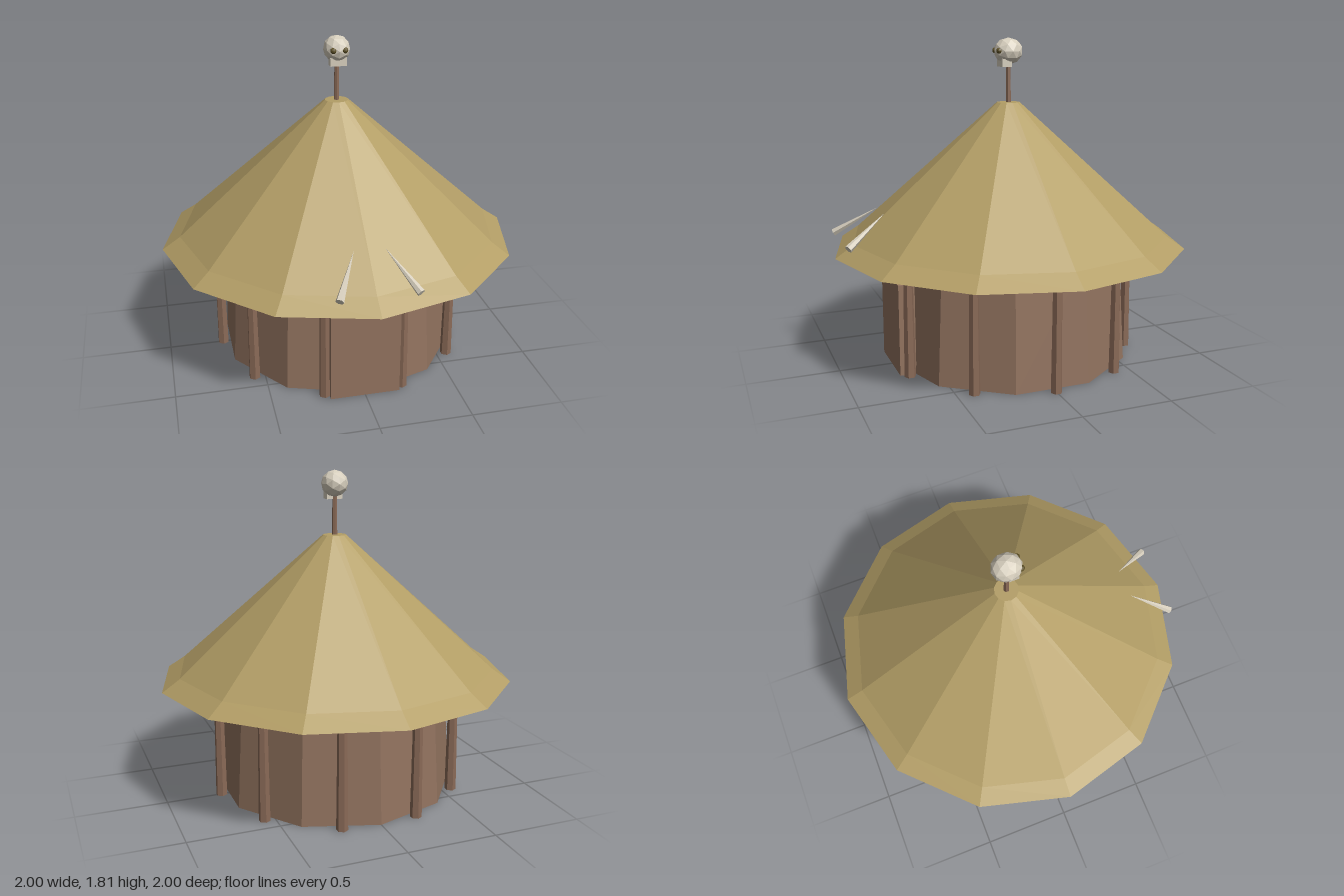
import * as THREE from 'three';

const paint = (name, color) => {
  const m = new THREE.MeshStandardMaterial({ color });
  m.name = name;
  return m;
};

// Split the faces so every facet is shaded flat
const faceted = (geometry) => {
  const g = geometry.index ? geometry.toNonIndexed() : geometry;
  g.computeVertexNormals();
  return g;
};

export function createModel() {
  const thatch = paint('thatch', 0xb39e66);
  const wood = paint('wood', 0x92735f);
  const darkWood = paint('darkWood', 0x8a6a57);
  const bone = paint('bone', 0xd6cebd);
  const eyeColor = paint('eyeSocket', 0x5f5228);

  const hut = new THREE.Group();
  hut.name = 'hut';
  const add = (name, geometry, material, x = 0, y = 0, z = 0, parent = hut) => {
    const mesh = new THREE.Mesh(faceted(geometry), material);
    mesh.name = name;
    mesh.position.set(x, y, z);
    parent.add(mesh);
    return mesh;
  };

  // Ten-sided tapering wall with a door slab at the front
  add('wall', new THREE.CylinderGeometry(0.64, 0.68, 0.68, 10), wood, 0, 0.34, 0);
  add('door', new THREE.BoxGeometry(0.38, 0.51, 0.09), wood, 0, 0.255, 0.66);

  // Ring of posts, one before each wall panel
  for (let i = 0; i < 10; i++) {
    const a = ((i + 0.5) * Math.PI) / 5;
    add('post', new THREE.CylinderGeometry(0.025, 0.032, 0.66, 6), darkWood,
      0.69 * Math.sin(a), 0.33, 0.69 * Math.cos(a));
  }

  // Twelve-sided roof with a flared rim and flat underside
  const profile = [[0, 0.64], [1, 0.64], [0.9, 0.708], [0.065, 1.45], [0, 1.45]]
    .map(([r, y]) => new THREE.Vector2(r, y));
  add('roof', new THREE.LatheGeometry(profile, 12), thatch);

  // Tusks above the door, points buried in the thatch
  for (const s of [-1, 1]) {
    const tip = new THREE.Vector3(s * 0.08, 0.89, 0.74);
    const base = new THREE.Vector3(s * 0.203, 0.74, 0.965);
    const dir = tip.clone().sub(base);
    const tusk = add('tusk', new THREE.ConeGeometry(0.022, dir.length(), 6), bone);
    tusk.position.copy(tip).add(base).multiplyScalar(0.5);
    tusk.quaternion.setFromUnitVectors(new THREE.Vector3(0, 1, 0), dir.normalize());
  }

  // Pole and skull on the peak
  add('pole', new THREE.CylinderGeometry(0.012, 0.016, 0.28, 6), darkWood, 0, 1.54, 0);
  const skull = new THREE.Group();
  skull.name = 'skull';
  skull.position.y = 1.732;
  hut.add(skull);
  add('cranium', new THREE.IcosahedronGeometry(0.074, 1).scale(1, 1, 1.12), bone, 0, 0, 0, skull);
  add('jaw', new THREE.BoxGeometry(0.09, 0.045, 0.055), bone, 0, -0.063, 0.024, skull);
  for (const s of [-1, 1]) {
    add('eye', new THREE.IcosahedronGeometry(0.017, 1), eyeColor, s * 0.032, 0.003, 0.066, skull);
  }

  return hut;
}
